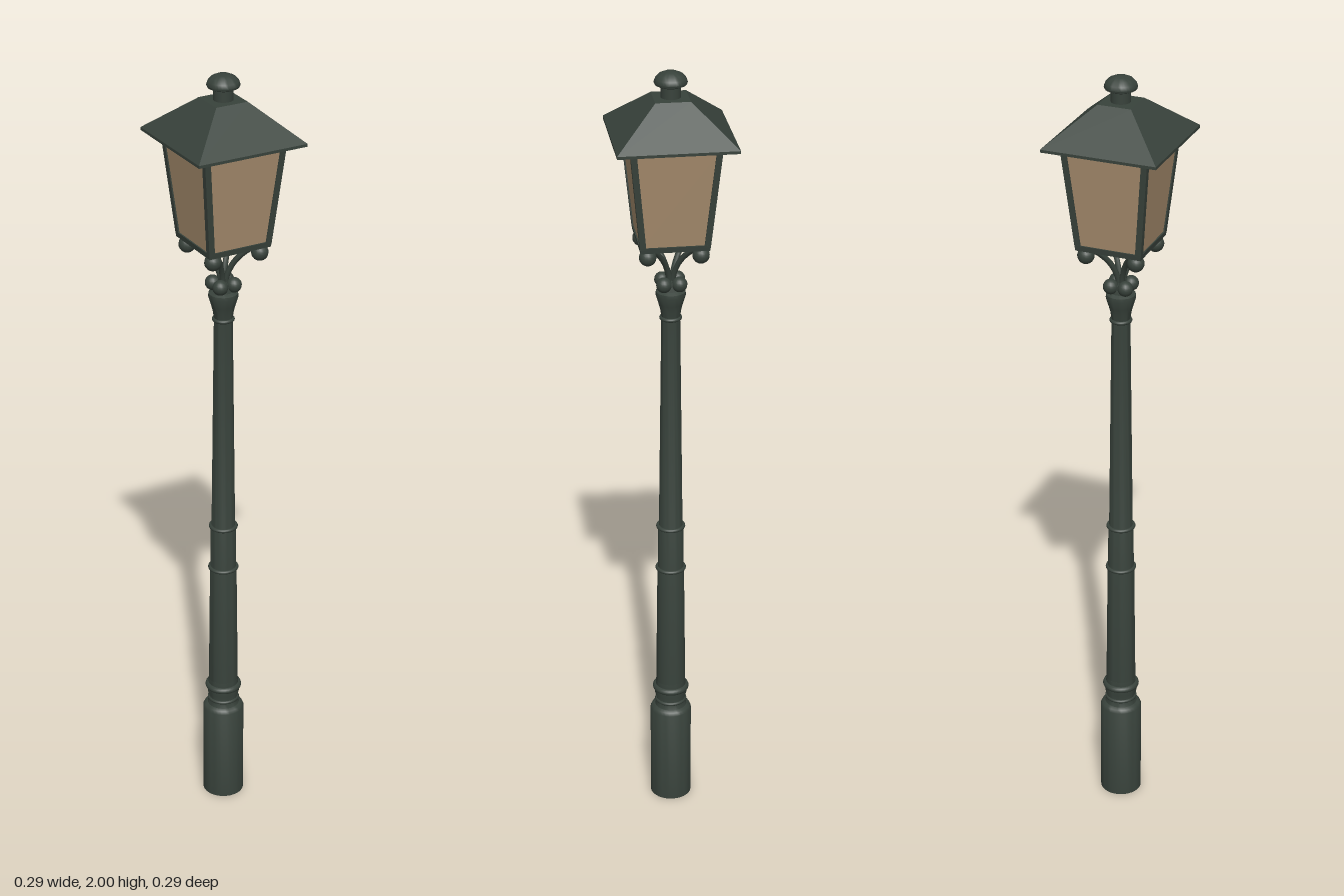
import * as THREE from 'three';
import { toCreasedNormals } from 'three/addons/utils/BufferGeometryUtils.js';

const iron = new THREE.MeshStandardMaterial({ color: 0x38423b });
iron.name = 'dark green iron';
const glass = new THREE.MeshStandardMaterial({ color: 0xa58b6c });
glass.name = 'warm tan glass';

export function createModel() {
  const model = new THREE.Group();
  model.name = 'streetLamp';

  const add = (name, geometry, material = iron, parent = model) => {
    const mesh = new THREE.Mesh(geometry, material);
    mesh.name = name;
    parent.add(mesh);
    return mesh;
  };
  const lathe = (points, segments = 32) => toCreasedNormals(
    new THREE.LatheGeometry(points.map(([r, y]) => new THREE.Vector2(r, y)), segments), 0.7);
  // Square frustum with flat sides, given by half widths and heights
  const frustum = (bottom, top, y0, y1, open = false) => {
    const g = new THREE.CylinderGeometry(top * Math.SQRT2, bottom * Math.SQRT2, y1 - y0, 4, 1, open);
    g.rotateY(Math.PI / 4).translate(0, (y0 + y1) / 2, 0);
    return toCreasedNormals(g, 0.3);
  };
  const ring = (name, r, tube, y) => {
    const g = new THREE.TorusGeometry(r, tube, 10, 32);
    add(name, g.rotateX(Math.PI / 2).translate(0, y, 0));
  };

  // Plinth and collar
  add('plinth', lathe([[0, 0], [0.053, 0], [0.053, 0.258], [0.049, 0.266], [0.041, 0.27],
    [0.036, 0.285], [0.041, 0.305], [0.038, 0.345], [0, 0.345]]));
  ring('baseRing', 0.038, 0.009, 0.324);
  ring('plinthBead', 0.036, 0.005, 0.286);

  // Tapering shaft in three stages
  add('shaft', lathe([[0.038, 0.335], [0.034, 0.68], [0.033, 0.685], [0.032, 0.795],
    [0.030, 0.802], [0.023, 1.385]]));
  ring('lowerShaftRing', 0.034, 0.005, 0.68);
  ring('upperShaftRing', 0.032, 0.005, 0.8);
  ring('neckRing', 0.023, 0.005, 1.377);

  // Flared capital
  add('capital', lathe([[0.023, 1.38], [0.026, 1.4], [0.03, 1.415], [0.037, 1.438],
    [0.036, 1.447], [0.026, 1.452], [0.022, 1.475], [0, 1.478]]));

  // Four diagonal brackets with scroll balls
  for (const sx of [-1, 1]) for (const sz of [-1, 1]) {
    const bracket = new THREE.Group();
    bracket.name = 'bracket';
    model.add(bracket);
    const at = (d, y) => new THREE.Vector3(sx * d, y, sz * d);
    const ball = (name, r, d, y) => add(name,
      new THREE.SphereGeometry(r, 16, 12), iron, bracket).position.copy(at(d, y));
    ball('capitalBall', 0.019, 0.019, 1.47);
    ball('scrollBall', 0.021, 0.064, 1.563);
    const curve = new THREE.CatmullRomCurve3([at(0.003, 1.465), at(0.007, 1.495),
      at(0.019, 1.53), at(0.04, 1.562), at(0.064, 1.583)]);
    add('bracketArm', new THREE.TubeGeometry(curve, 16, 0.007, 8), iron, bracket);
  }

  // Lantern body
  const lantern = new THREE.Group();
  lantern.name = 'lantern';
  model.add(lantern);
  add('lanternFloor', frustum(0.083, 0.085, 1.58, 1.594), iron, lantern);
  add('glassPanes', frustum(0.081, 0.106, 1.592, 1.842, true), glass, lantern);
  add('topRail', frustum(0.109, 0.11, 1.834, 1.846), iron, lantern);
  for (const sx of [-1, 1]) for (const sz of [-1, 1]) {
    // Corner posts lean outward with the panes
    const g = new THREE.BoxGeometry(0.015, 0.255, 0.015);
    const p = g.attributes.position;
    for (let i = 0; i < p.count; i++) {
      const offset = p.getY(i) > 0 ? 0.102 : 0.077;
      p.setXYZ(i, p.getX(i) + sx * offset, p.getY(i) + 1.717, p.getZ(i) + sz * offset);
    }
    g.computeVertexNormals();
    add('cornerPost', g, iron, lantern);
  }

  // Roof, chimney and finial
  add('eaves', frustum(0.144, 0.144, 1.842, 1.849), iron, lantern);
  add('roof', frustum(0.144, 0.042, 1.849, 1.938), iron, lantern);
  add('chimney', new THREE.CylinderGeometry(0.024, 0.024, 0.04, 24).translate(0, 1.953, 0), iron, lantern);
  add('finial', lathe([[0, 1.966], [0.03, 1.966], [0.038, 1.97], [0.04, 1.975], [0.037, 1.984],
    [0.029, 1.993], [0.016, 1.999], [0, 2]]), iron, lantern);

  return model;
}
